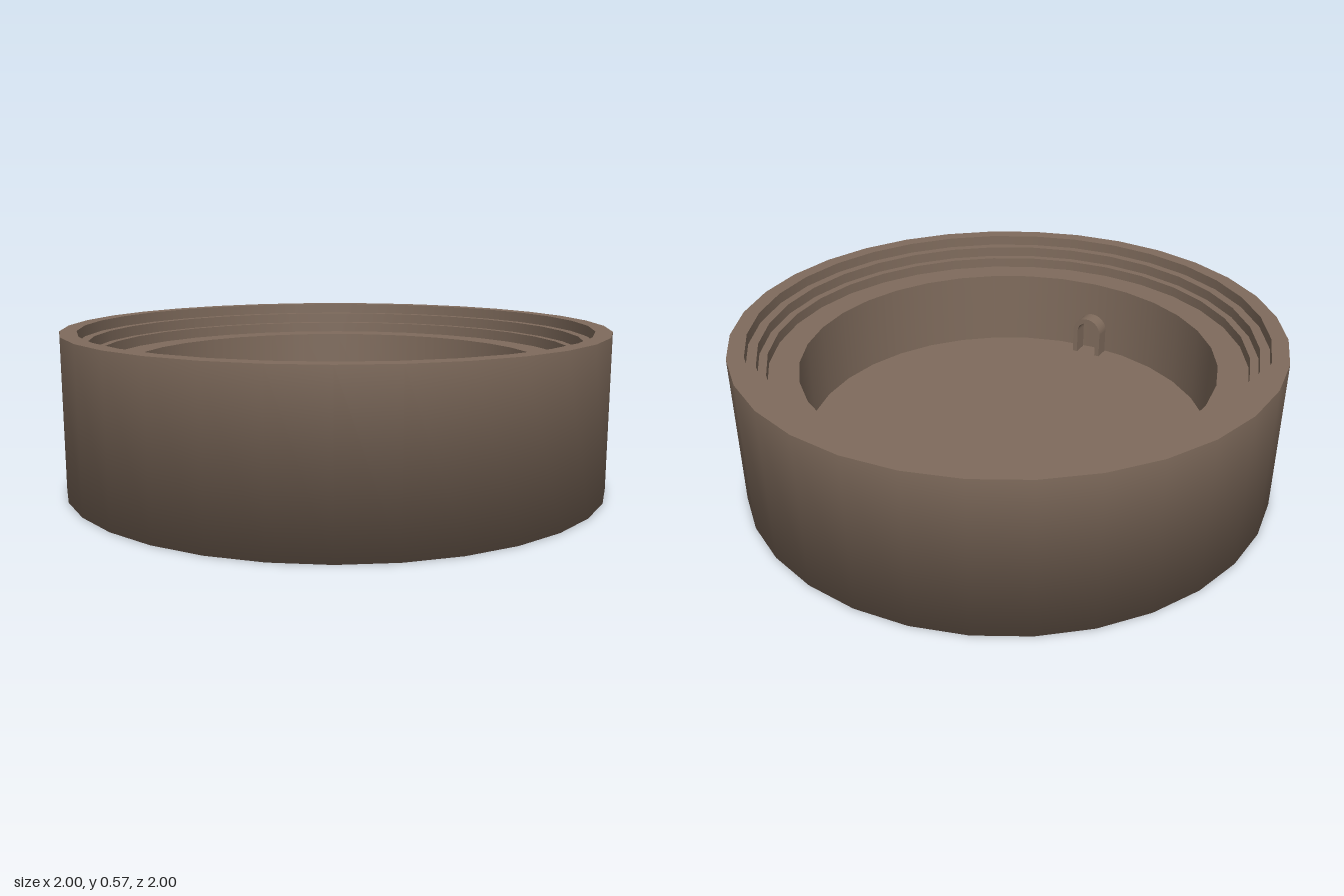
import * as THREE from 'three';
import { mergeGeometries } from 'three/addons/utils/BufferGeometryUtils.js';

const SIDES = 32;
const HEIGHT = 0.575;
const FLOOR = 0.156;

const lathe = (points) =>
  new THREE.LatheGeometry(points.map(([r, y]) => new THREE.Vector2(r, y)), SIDES);

// One lathe per profile segment keeps every step edge crisp.
const steppedLathe = (points) =>
  mergeGeometries(points.slice(1).map((p, i) => lathe([points[i], p])));

// Upside-down U with a round top, standing on its two legs.
function archGeometry(outer, inner, legs, depth) {
  const shape = new THREE.Shape();
  shape.moveTo(outer, 0);
  shape.lineTo(outer, legs);
  shape.absarc(0, legs, outer, 0, Math.PI, false);
  shape.lineTo(-outer, 0);
  shape.lineTo(-inner, 0);
  shape.lineTo(-inner, legs);
  shape.absarc(0, legs, inner, Math.PI, 0, true);
  shape.lineTo(inner, 0);
  const geometry = new THREE.ExtrudeGeometry(shape, { depth, bevelEnabled: false, curveSegments: 16 });
  return geometry.translate(0, 0, -depth / 2);
}

export function createModel() {
  const group = new THREE.Group();
  const brown = new THREE.MeshStandardMaterial({ color: 0x7f6b5c });
  brown.name = 'brown';

  const add = (name, geometry) => {
    const mesh = new THREE.Mesh(geometry, brown);
    mesh.name = name;
    group.add(mesh);
    return mesh;
  };

  // Outer wall and underside share smooth normals.
  add('outerShell', lathe([[0, 0], [1, 0], [1, HEIGHT]]));

  // Flat rim, three narrow steps and a wider ledge.
  add('steppedRim', steppedLathe([
    [1, HEIGHT], [0.94, HEIGHT],
    [0.94, HEIGHT - 0.04], [0.905, HEIGHT - 0.04],
    [0.905, HEIGHT - 0.08], [0.875, HEIGHT - 0.08],
    [0.875, HEIGHT - 0.12], [0.765, HEIGHT - 0.12],
  ]));

  add('innerWall', lathe([[0.765, HEIGHT - 0.12], [0.765, FLOOR]]));
  add('floor', lathe([[0.765, FLOOR], [0, FLOOR]]));

  // Small arched loops at the front and back of the floor.
  const arch = archGeometry(0.062, 0.042, 0.1, 0.062);
  for (const [name, side] of [['frontLoop', 1], ['backLoop', -1]]) {
    add(name, arch).position.set(0, FLOOR, side * 0.724);
  }

  return group;
}
